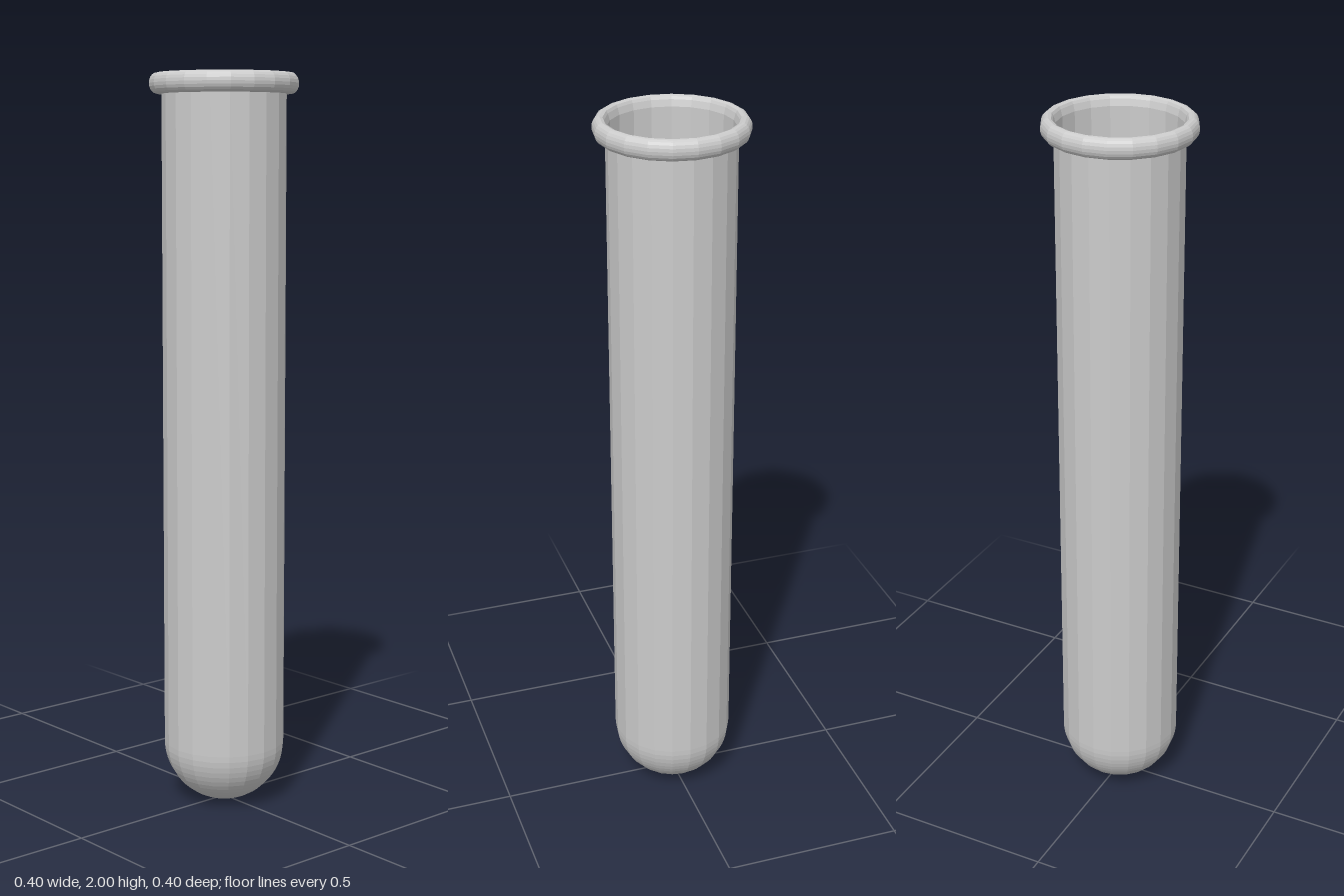
import * as THREE from 'three';

const SIDES = 20;
const RADIUS = 0.167;
const INNER = 0.163;
const RIM_Y = 1.9725;

const material = new THREE.MeshStandardMaterial({ color: 0xcccccc, flatShading: true, side: THREE.DoubleSide });

// Points of an elliptical arc, angles in radians
function arc(cx, cy, rx, ry, from, to, steps) {
  const points = [];
  for (let i = 0; i <= steps; i++) {
    const a = from + ((to - from) * i) / steps;
    points.push(new THREE.Vector2(Math.max(0, cx + rx * Math.cos(a)), cy + ry * Math.sin(a)));
  }
  return points;
}

function lathe(name, points) {
  const mesh = new THREE.Mesh(new THREE.LatheGeometry(points, SIDES), material);
  mesh.name = name;
  return mesh;
}

export function createModel() {
  const model = new THREE.Group();
  model.name = 'roundBottomTube';

  // Outer wall with its hemispherical base
  model.add(lathe('outerWall', [
    ...arc(0, RADIUS, RADIUS, RADIUS, -Math.PI / 2, 0, 16),
    new THREE.Vector2(RADIUS, RIM_Y),
  ]));

  // Inner wall, a thin glass thickness inside the outer one
  model.add(lathe('innerWall', [
    new THREE.Vector2(INNER, RIM_Y),
    ...arc(0, RADIUS, INNER, INNER, 0, -Math.PI / 2, 16),
  ]));

  // Rounded bead around the mouth, running from the outer wall over to the inner wall
  model.add(lathe('rim', [
    new THREE.Vector2(RADIUS, 1.945),
    ...arc(0.18, RIM_Y, 0.02, 0.0275, -Math.PI / 2, Math.PI / 2, 10),
    new THREE.Vector2(0.172, 1.997),
    new THREE.Vector2(0.168, 1.99),
    new THREE.Vector2(INNER, RIM_Y),
  ]));

  return model;
}
